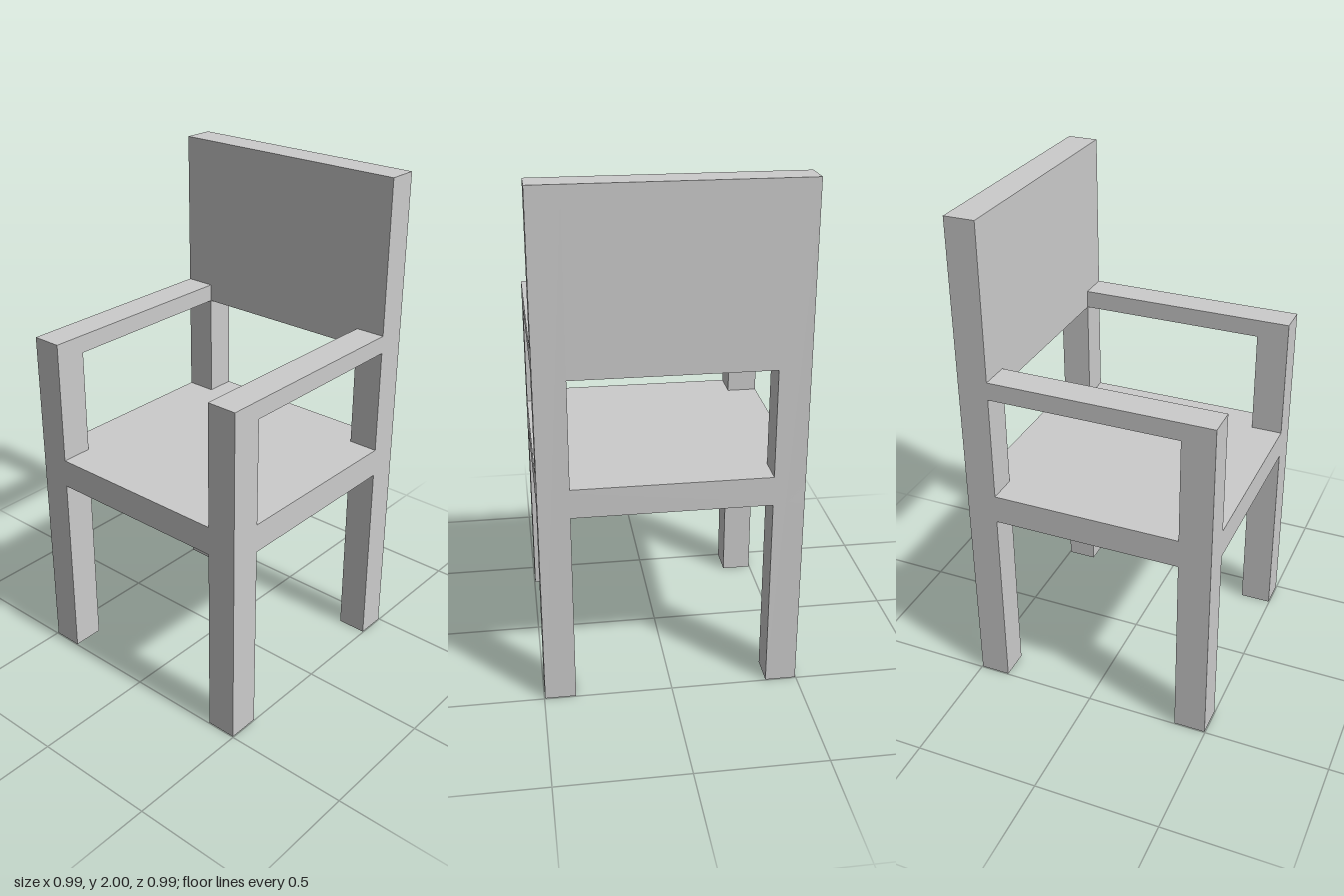
import * as THREE from 'three';

const material = new THREE.MeshStandardMaterial({ color: 0xcccccc, flatShading: true });

// Box given by its minimum and maximum on each axis
function block(name, [x0, x1], [y0, y1], [z0, z1]) {
  const mesh = new THREE.Mesh(new THREE.BoxGeometry(x1 - x0, y1 - y0, z1 - z0), material);
  mesh.name = name;
  mesh.position.set((x0 + x1) / 2, (y0 + y1) / 2, (z0 + z1) / 2);
  return mesh;
}

export function createModel() {
  const chair = new THREE.Group();
  chair.name = 'armchair';

  const H = 0.497;                 // half width of the footprint
  const IN = 0.377;                // inner edge of the posts
  const frontX = [-H, -0.37];
  const backX = [0.377, H];
  const armTop = 1.388, openTop = 1.317;

  // Posts and armrests, mirrored across z; the chair faces -x
  for (const side of [1, -1]) {
    const z = side > 0 ? [IN, H] : [-H, -IN];
    chair.add(block('frontLeg', frontX, [0, armTop], z));
    chair.add(block('backLeg', backX, [0, 2], z));
    chair.add(block('armrest', [frontX[1], backX[0]], [openTop, armTop], z));
  }

  // Solid back panel between the rear posts
  chair.add(block('backrest', backX, [openTop, 2], [-IN, IN]));

  // Square seat, hollowed underneath with bevelled rims
  const profile = [[0, 0.845], [IN, 0.845], [H, 0.78], [H, 0.895], [0, 0.895]]
    .map(([r, y]) => new THREE.Vector2(r * Math.SQRT2, y));
  const seat = new THREE.Mesh(new THREE.LatheGeometry(profile, 4, Math.PI / 4), material);
  seat.name = 'seat';
  chair.add(seat);

  return chair;
}
